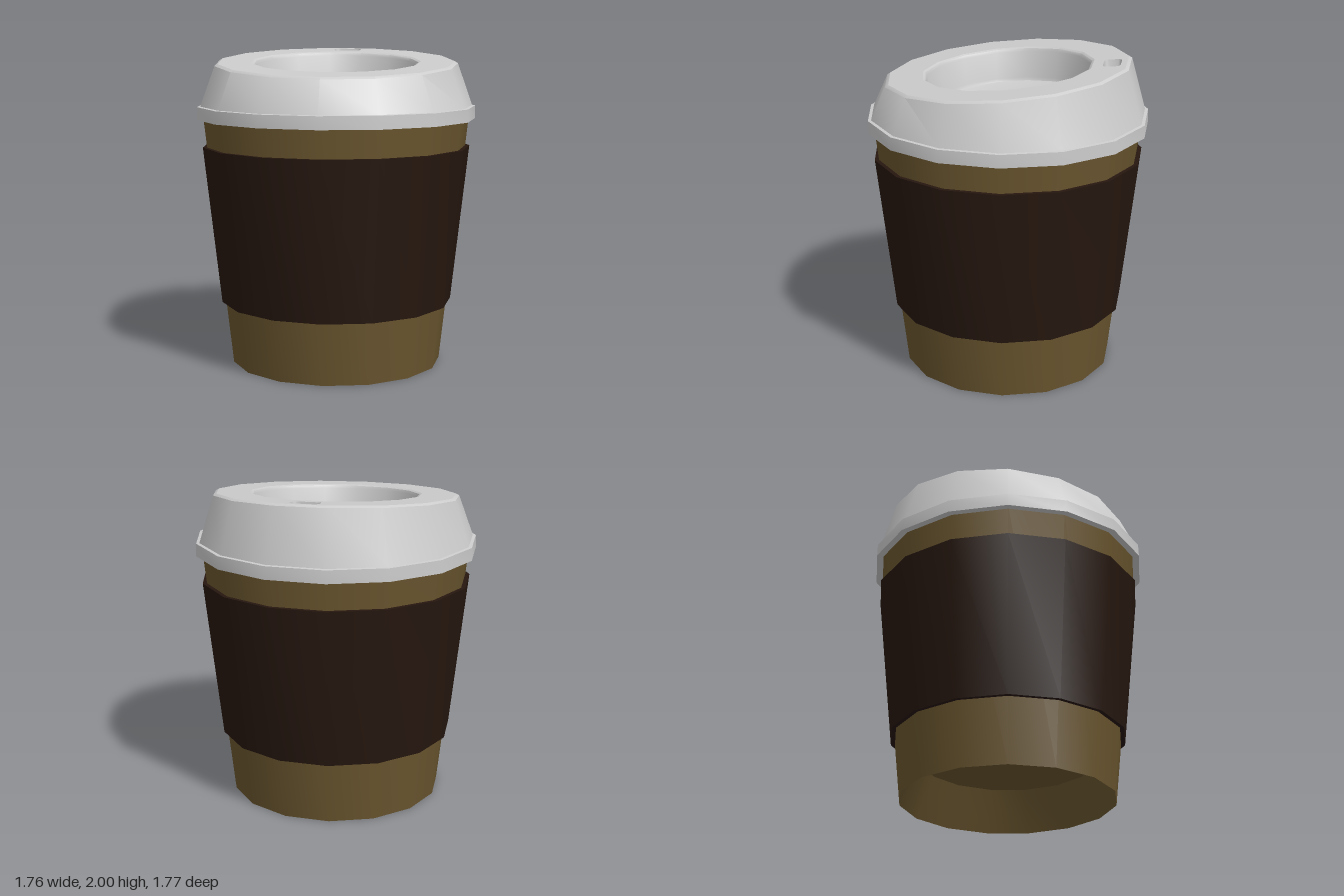
import * as THREE from 'three';
import { toCreasedNormals } from 'three/addons/utils/BufferGeometryUtils.js';

const SIDES = 15;
const SLOPE = 0.085; // the lid top rises towards the back
const TOP = 1.935;   // lid height on the axis

const grey = new THREE.MeshStandardMaterial({ color: 0xcccccc });
const kraft = new THREE.MeshStandardMaterial({ color: 0x6a562f });
const brown = new THREE.MeshStandardMaterial({ color: 0x26170f });

// Shear everything above the lid rim so that it follows the sloping top
function tilt(geometry) {
  const p = geometry.attributes.position;
  for (let i = 0; i < p.count; i++) {
    if (p.getY(i) > 1.67) p.setY(i, p.getY(i) - SLOPE * p.getZ(i));
  }
  return geometry;
}

// 15-sided turned part with a corner on +x
function turned(profile) {
  const points = profile.map(([r, y]) => new THREE.Vector2(r, y));
  return new THREE.LatheGeometry(points, SIDES, Math.PI / 2);
}

function polygon(r) {
  return Array.from({ length: SIDES }, (_, i) => {
    const a = (i / SIDES) * Math.PI * 2;
    return new THREE.Vector2(r * Math.cos(a), r * Math.sin(a));
  });
}

// Rounded rectangle for the sip hole, in line with one side of the lid
function slotOutline(scale) {
  const a = THREE.MathUtils.degToRad(84), n = 24;
  const radial = new THREE.Vector2(Math.cos(a), Math.sin(a));
  const along = new THREE.Vector2(Math.sin(a), -Math.cos(a));
  const soft = (v) => Math.sign(v) * Math.pow(Math.abs(v), 0.4);
  return Array.from({ length: n }, (_, i) => {
    const t = (i / n) * Math.PI * 2;
    return radial.clone().multiplyScalar(0.648 + 0.055 * scale * soft(Math.sin(t)))
      .addScaledVector(along, 0.088 * scale * soft(Math.cos(t)));
  });
}

// Tapered pocket below the sip hole: walls and floor seen from above
function slotPocket() {
  const rings = [[1, TOP], [0.85, TOP - 0.07], [0, TOP - 0.07]];
  const n = 24, position = [], index = [];
  rings.forEach(([s, y]) => slotOutline(s).forEach((p) => position.push(p.x, y, -p.y)));
  for (let k = 0; k < rings.length - 1; k++) {
    for (let i = 0; i < n; i++) {
      const a = k * n + i, b = k * n + (i + 1) % n;
      index.push(a, a + n, b, b, a + n, b + n);
    }
  }
  const g = new THREE.BufferGeometry();
  g.setAttribute('position', new THREE.Float32BufferAttribute(position, 3));
  g.setIndex(index);
  return g;
}

export function createModel() {
  const model = new THREE.Group();
  model.name = 'coffeeCup';
  const add = (name, geometry, material, parent) => {
    const mesh = new THREE.Mesh(toCreasedNormals(geometry, 0.6), material);
    mesh.name = name;
    parent.add(mesh);
    return mesh;
  };

  // Cup body with hollowed underside
  add('cup', turned([[0, 0.26], [0.55, 0.26], [0.675, 0], [0.85, 1.6]]), kraft, model);

  // Sleeve
  add('sleeve', turned([[0.7, 0.4], [0.745, 0.4], [0.855, 1.4], [0.81, 1.4]]), brown, model);

  // Lid
  const lid = new THREE.Group();
  lid.name = 'lid';
  model.add(lid);
  add('lidRim', turned([[0.83, 1.575], [0.89, 1.575], [0.888, 1.655], [0.868, 1.658]]), grey, lid);
  add('lidWall', tilt(turned([[0.868, 1.658], [0.775, TOP - 0.012], [0.755, TOP]])), grey, lid);

  // Sloping top with openings for the recess and the sip hole
  const top = new THREE.Shape(polygon(0.755));
  top.holes.push(new THREE.Path(polygon(0.54)), new THREE.Path(slotOutline(1)));
  add('lidTop', tilt(new THREE.ShapeGeometry(top).rotateX(-Math.PI / 2).translate(0, TOP, 0)), grey, lid);

  // Round recess with softened lip and foot
  const recess = [[0.54, 0], [0.525, -0.007], [0.515, -0.025], [0.495, -0.195],
    [0.487, -0.215], [0.47, -0.222], [0, -0.222]].map(([r, y]) => [r, TOP + y]);
  add('lidRecess', tilt(turned(recess)), grey, lid);
  add('sipHole', tilt(slotPocket()), grey, lid).material = grey.clone();
  lid.getObjectByName('sipHole').material.side = THREE.DoubleSide;

  model.position.x = -0.01;
  return model;
}
